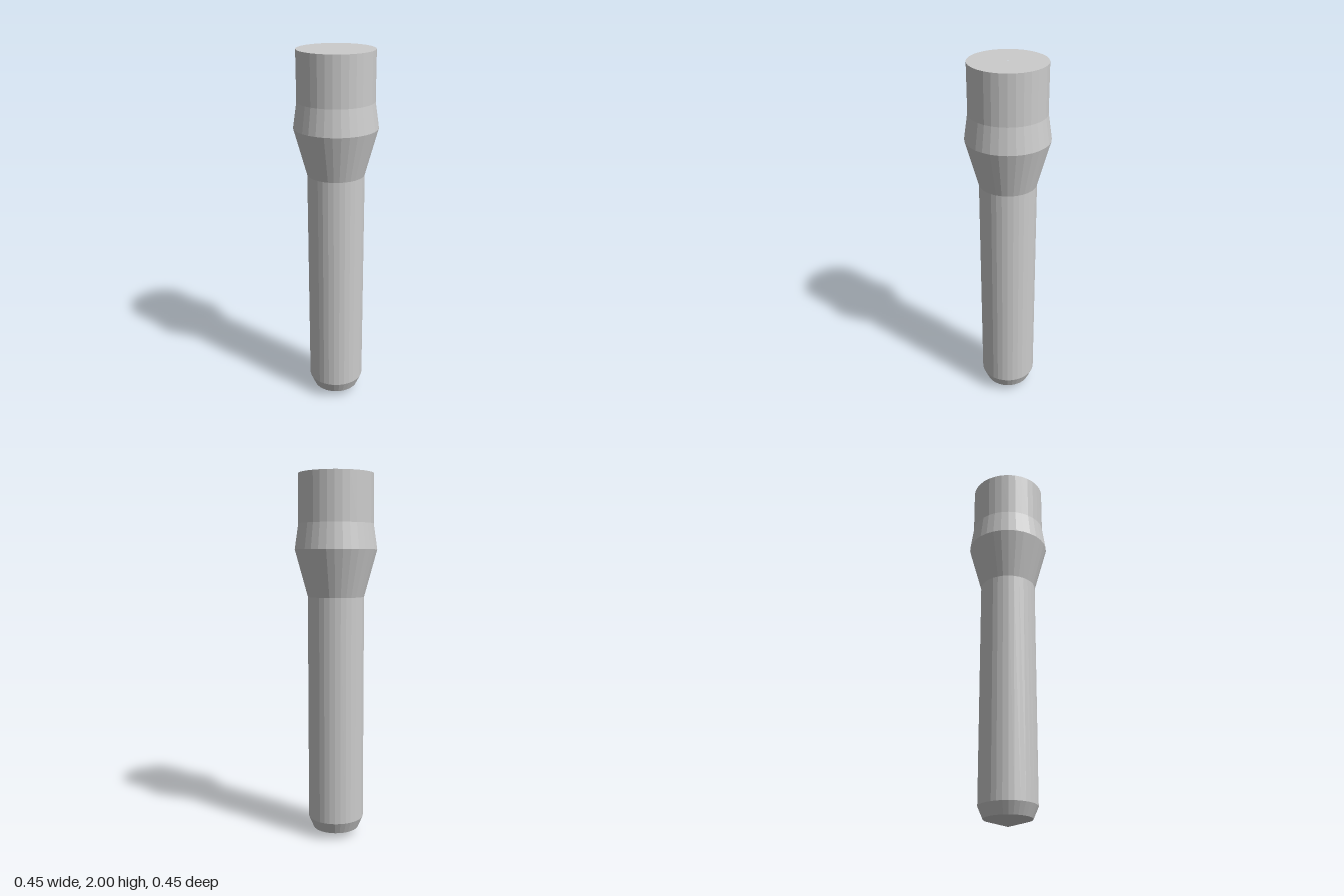
import * as THREE from 'three';

const SIDES = 32;

export function createModel() {
  const model = new THREE.Group();
  model.name = 'pin';
  const steel = new THREE.MeshStandardMaterial({ color: 0xcccccc, flatShading: true });
  steel.name = 'grey steel';

  // Each part is turned from [radius, height] pairs listed from bottom to top
  const turn = (name, profile) => {
    const points = profile.map(([r, y]) => new THREE.Vector2(r, y));
    const mesh = new THREE.Mesh(new THREE.LatheGeometry(points, SIDES), steel);
    mesh.name = name;
    model.add(mesh);
  };

  // Shallow cone point and chamfer
  turn('tip', [[0, 0], [0.127, 0.037], [0.154, 0.1]]);
  // Long straight shank
  turn('shank', [[0.154, 0.1], [0.154, 1.345]]);
  // Flared collar
  turn('collar', [[0.154, 1.345], [0.224, 1.6], [0.204, 1.738]]);
  // Straight head, its flat top pierced by a tiny centre hole
  turn('head', [[0.204, 1.738], [0.204, 2], [0.004, 2]]);

  return model;
}
